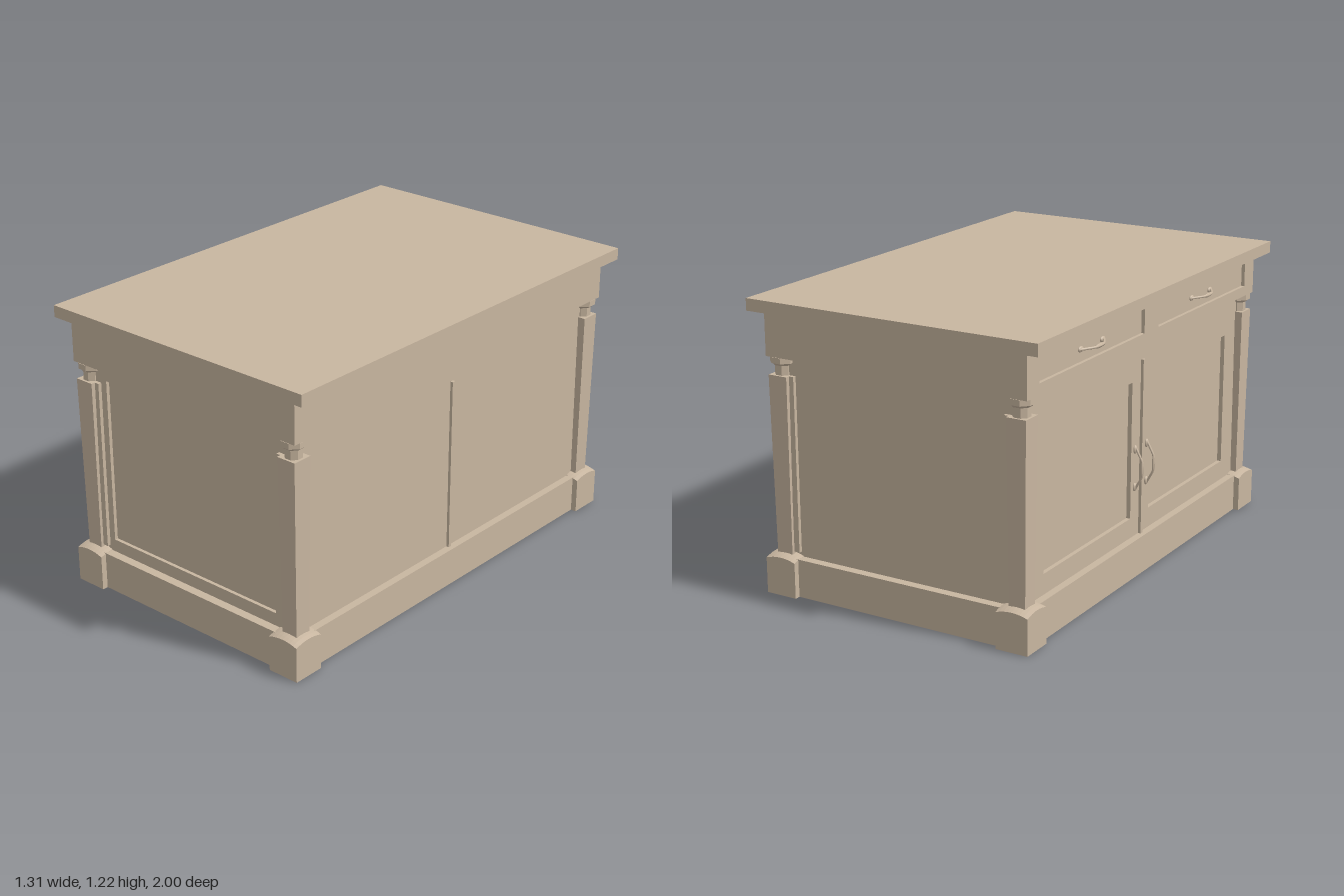
import * as THREE from 'three';

const wood = new THREE.MeshStandardMaterial({ color: 0xc8b6a0, flatShading: true });
const metal = new THREE.MeshStandardMaterial({ color: 0xc8b6a0 });

function add(parent, name, geo, x = 0, y = 0, z = 0, mat = wood) {
  const m = new THREE.Mesh(geo, mat);
  m.name = name;
  m.position.set(x, y, z);
  parent.add(m);
  return m;
}
const box = (w, h, d) => new THREE.BoxGeometry(w, h, d);

// Rectangle outline as a Shape or a hole Path
function rect(x0, y0, x1, y1, Type = THREE.Shape) {
  return new Type([[x0, y0], [x1, y0], [x1, y1], [x0, y1]].map(p => new THREE.Vector2(...p)));
}
// Flat board with rectangular holes, extruded along +z
function board(outer, holes, depth) {
  const s = rect(...outer);
  for (const h of holes) s.holes.push(rect(...h, THREE.Path));
  return new THREE.ExtrudeGeometry(s, { depth, bevelEnabled: false });
}

// Foot block with a pillowed top
function footGeometry() {
  const half = 0.07;
  const g = new THREE.BoxGeometry(half * 2, 0.15, half * 2, 8, 1, 8);
  g.translate(0, 0.075, 0);
  const p = g.attributes.position;
  for (let i = 0; i < p.count; i++) {
    if (p.getY(i) < 0.1) continue;
    const u = p.getX(i) / half, v = p.getZ(i) / half;
    p.setY(i, 0.15 + 0.0125 * (2 - u * u - v * v));
  }
  g.computeVertexNormals();
  return g;
}

// Square or octagonal tapered shaft with its base at y = 0
function shaft(topHalf, bottomHalf, h, sides) {
  const k = 1 / Math.cos(Math.PI / sides);
  const g = new THREE.CylinderGeometry(topHalf * k, bottomHalf * k, h, sides);
  g.rotateY(Math.PI / sides);
  g.translate(0, h / 2, 0);
  return g;
}

// Corner post: foot, tapered shaft, side strip, neck and capital
function cornerPost(sx, sz) {
  const g = new THREE.Group();
  g.name = 'cornerPost';
  const x = sx * 0.5425, z = sz * 0.9225;
  add(g, 'foot', footGeometry(), sx * 0.54, 0, sz * 0.925);
  add(g, 'postShaft', shaft(0.043, 0.036, 0.75, 4), x, 0.16, z);
  add(g, 'postStrip', box(0.025, 0.73, 0.035), sx * 0.492, 0.545, sz * 0.93);
  add(g, 'neck', shaft(0.033, 0.033, 0.055, 8), x, 0.908, z);
  add(g, 'capitalFlare', shaft(0.048, 0.036, 0.012, 8), x, 0.95, z);
  add(g, 'capital', shaft(0.05, 0.05, 0.024, 8), x, 0.961, z);
  return g;
}

// Bow handle along y, standing out along +z
function pull(length, reach) {
  const g = new THREE.Group();
  g.name = 'pull';
  const h = length / 2;
  const path = new THREE.CatmullRomCurve3([
    [-h, 0.004], [-h * 0.72, reach * 0.45], [-h * 0.3, reach * 0.9],
    [h * 0.3, reach * 0.9], [h * 0.72, reach * 0.45], [h, 0.004],
  ].map(([y, z]) => new THREE.Vector3(0, y, z)));
  add(g, 'pullBow', new THREE.TubeGeometry(path, 20, 0.005, 8), 0, 0, 0, metal);
  add(g, 'pullGrip', new THREE.SphereGeometry(1, 12, 8), 0, 0, reach * 0.9, metal)
    .scale.set(0.009, h * 0.42, 0.006);
  for (const s of [-1, 1]) {
    add(g, 'pullMount', new THREE.SphereGeometry(1, 12, 8), 0, s * h * 0.9, 0.002, metal)
      .scale.set(0.012, 0.018, 0.008);
  }
  return g;
}

export function createModel() {
  const root = new THREE.Group();
  root.name = 'kitchenIsland';

  // Worktop
  add(root, 'worktop', box(1.31, 0.05, 2), 0, 1.19, 0);

  // Frieze, with two drawer recesses on the right side
  add(root, 'frieze', box(1.169, 0.18, 1.94), 0.0075, 1.075, 0);
  const drawers = board([-0.97, 0.985, 0.97, 1.165],
    [[-0.88, 1.03, -0.06, 1.135], [0.06, 1.03, 0.88, 1.135]], 0.015);
  add(root, 'drawerFrame', drawers, -0.577, 0, 0).rotation.y = -Math.PI / 2;

  // Skirt ring around the open bottom
  const skirt = board([-0.585, -0.97, 0.585, 0.97], [[-0.55, -0.93, 0.55, 0.93]], 0.16);
  add(root, 'skirt', skirt).rotation.x = -Math.PI / 2;

  // Front wall: recessed panel with a frame
  add(root, 'frontPanel', box(1.1, 0.985, 0.01), 0, 0.4925, 0.912);
  add(root, 'frontFrame', board([-0.55, 0, 0.55, 0.985], [[-0.45, 0.215, 0.45, 0.925]], 0.015), 0, 0, 0.917);

  // Plain back and left walls
  add(root, 'backWall', box(1.1, 0.985, 0.015), 0, 0.4925, -0.9245);
  add(root, 'leftWall', box(0.015, 0.985, 1.86), 0.5445, 0.4925, 0);

  // Right wall: two doors with recessed panels
  add(root, 'doorPanels', box(0.01, 0.985, 1.86), -0.529, 0.4925, 0);
  const doors = board([-0.93, 0, 0.93, 0.985],
    [[-0.78, 0.245, -0.08, 0.825], [0.08, 0.245, 0.78, 0.825]], 0.018);
  add(root, 'doorFrames', doors, -0.534, 0, 0).rotation.y = -Math.PI / 2;

  // Centre battens on both long sides
  for (const s of [-1, 1]) add(root, 'centreBatten', box(0.016, 0.75, 0.016), s * 0.556, 0.53, 0);

  // Pulls on doors and drawers
  for (const s of [-1, 1]) {
    const doorPull = pull(0.18, 0.04);
    doorPull.name = 'doorPull';
    doorPull.position.set(-0.552, 0.455, s * 0.05);
    doorPull.rotation.y = -Math.PI / 2;
    const drawerPull = pull(0.19, 0.042);
    drawerPull.name = 'drawerPull';
    drawerPull.position.set(-0.577, 1.08, s * 0.47);
    drawerPull.rotation.set(Math.PI / 2, 0, Math.PI / 2, 'XYZ');
    drawerPull.rotation.set(0, -Math.PI / 2, Math.PI / 2, 'YXZ');
    root.add(doorPull, drawerPull);
  }

  // Corner posts
  for (const sx of [-1, 1]) for (const sz of [-1, 1]) root.add(cornerPost(sx, sz));
  return root;
}
